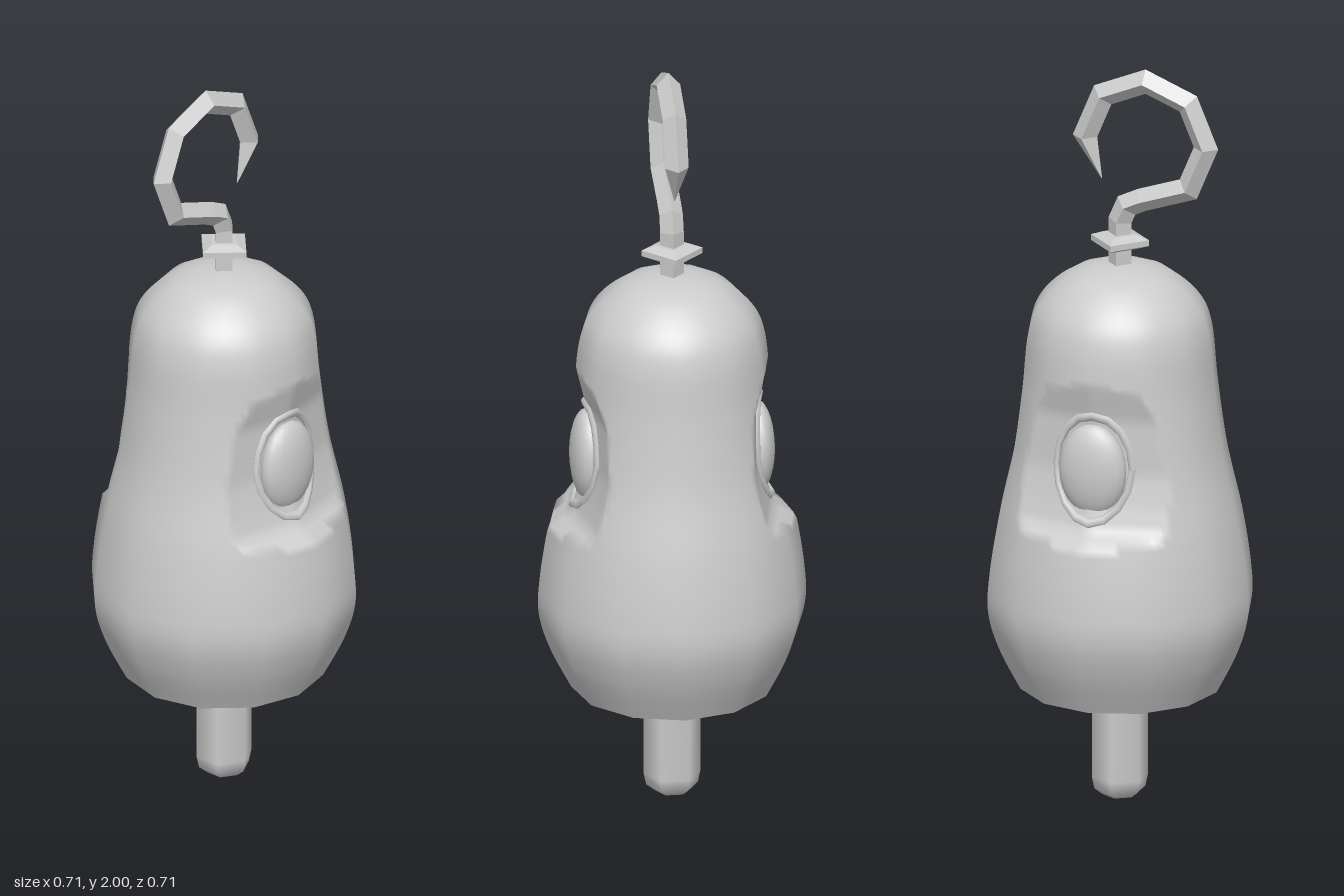
import * as THREE from 'three';

const grey = new THREE.MeshStandardMaterial({ color: 0xcccccc });
const greyFlat = new THREE.MeshStandardMaterial({ color: 0xcccccc, flatShading: true });

const PROFILE = [[0.265, 0.31], [0.32, 0.42], [0.35, 0.52], [0.348, 0.62], [0.325, 0.77], [0.285, 0.95],
  [0.26, 1.13], [0.245, 1.28], [0.215, 1.36], [0.15, 1.425], [0.08, 1.455], [0, 1.465]];
// Height and depth of the hollow pressed into each flank
const DENT = [[0.765, 0.33], [0.8, 0.27], [0.87, 0.248], [0.95, 0.23], [1.1, 0.225], [1.2, 0.25]];

const vec2 = (list) => list.map(([x, y]) => new THREE.Vector2(x, y));

function add(parent, name, geometry, material = grey) {
  const mesh = new THREE.Mesh(geometry, material);
  mesh.name = name;
  parent.add(mesh);
  return mesh;
}

// Largest |x| the flank may reach at a given height and depth
function flankLimit(y, z) {
  for (let i = 1; i < DENT.length; i++) {
    const [y0, x0] = DENT[i - 1], [y1, x1] = DENT[i];
    if (y >= y0 && y <= y1) return x0 + (x1 - x0) * (y - y0) / (y1 - y0) - 0.2 * Math.abs(z);
  }
  return Infinity;
}

// Twelve-sided, smooth-shaded shell with hollows in both flanks
function shell(points, inset = 0) {
  const geo = new THREE.LatheGeometry(points, 96);
  const pos = geo.attributes.position;
  const smooth = geo.attributes.normal.clone();
  const dented = [];
  const step = Math.PI / 6;
  for (let i = 0; i < pos.count; i++) {
    const a = Math.atan2(pos.getX(i), pos.getZ(i)) + 2 * Math.PI;
    const k = Math.cos(step / 2) / Math.cos((a % step) - step / 2);
    let x = pos.getX(i) * k;
    const y = pos.getY(i), z = pos.getZ(i) * k;
    const limit = flankLimit(y, z) - inset;
    if (Math.abs(x) > limit) {
      x = Math.sign(x) * limit;
      dented.push(i);
    }
    pos.setXYZ(i, x, y, z);
  }
  geo.computeVertexNormals();
  const n = geo.attributes.normal;
  for (const i of dented) smooth.setXYZ(i, n.getX(i), n.getY(i), n.getZ(i));
  geo.setAttribute('normal', smooth);
  return geo;
}

// Square bar on edge, swept along a path of [z, y, radius] with mitred corners
function sweptBar(path) {
  const verts = [], index = [];
  path.forEach(([z, y, r], i) => {
    const dir = (p, q) => new THREE.Vector2(q[0] - p[0], q[1] - p[1]).normalize();
    const before = dir(path[Math.max(i - 1, 0)], path[Math.max(i, 1)]);
    const last = path.length - 1;
    const after = dir(path[Math.min(i, last - 1)], path[Math.min(i + 1, last)]);
    const t = before.clone().add(after).normalize();
    const m = r / Math.max(t.dot(before), 0.6);
    const ny = t.x * m, nz = -t.y * m;
    verts.push(r, y, z, 0, y + ny, z + nz, -r, y, z, 0, y - ny, z - nz);
    if (i === 0) return;
    for (let j = 0; j < 4; j++) {
      const a = (i - 1) * 4 + j, b = (i - 1) * 4 + (j + 1) % 4;
      index.push(a, b, b + 4, a, b + 4, a + 4);
    }
  });
  const geo = new THREE.BufferGeometry();
  geo.setAttribute('position', new THREE.Float32BufferAttribute(verts, 3));
  geo.setIndex(index);
  const flat = geo.toNonIndexed();
  flat.computeVertexNormals();
  return flat;
}

export function createModel() {
  const model = new THREE.Group();
  model.name = 'hangingBell';

  // Body: outer wall, inner wall and the lip joining them
  const body = new THREE.Group();
  body.name = 'body';
  model.add(body);
  const outer = new THREE.SplineCurve(vec2(PROFILE)).getPoints(96);
  outer[outer.length - 1].x = 0;
  const inner = new THREE.SplineCurve(vec2(PROFILE.map(([x, y]) =>
    [Math.max(x - 0.027, 0), y > 1.3 ? y - 0.025 : y]))).getPoints(64).reverse();
  inner.forEach((p) => { p.x = Math.max(p.x, 0); });
  add(body, 'outerWall', shell(outer));
  add(body, 'innerWall', shell(inner, 0.02));
  add(body, 'lip', shell(vec2([[0.238, 0.31], [0.265, 0.31]])));

  // Oval boss with a bent rim, one in each flank
  for (const side of [1, -1]) {
    const boss = new THREE.Group();
    boss.name = side > 0 ? 'leftBoss' : 'rightBoss';
    boss.rotation.y = side > 0 ? 0 : Math.PI;
    model.add(boss);

    const dome = add(boss, 'dome', new THREE.SphereGeometry(1, 20, 14));
    dome.scale.set(0.045, 0.125, 0.092);
    dome.position.set(0.224, 0.965, 0);

    const rim = new THREE.TorusGeometry(0.104, 0.009, 6, 16);
    rim.rotateY(Math.PI / 2);
    rim.scale(1, 1.36, 1);
    rim.translate(0, 0.972, 0);
    const p = rim.attributes.position;
    for (let i = 0; i < p.count; i++) {
      p.setX(i, p.getX(i) + flankLimit(p.getY(i), p.getZ(i)) + 0.002);
    }
    rim.computeVertexNormals();
    add(boss, 'rim', rim);
  }

  // Clapper: six-sided rod with a rounded end
  const clapper = new THREE.LatheGeometry(
    vec2([[0, 0], [0.045, 0.004], [0.068, 0.022], [0.075, 0.055], [0.075, 1.25], [0, 1.25]]), 6);
  clapper.rotateY(Math.PI / 2);
  add(model, 'clapper', clapper);

  // Square collar with bevelled faces
  const collar = new THREE.LatheGeometry(
    vec2([[0, 1.505], [0.045, 1.505], [0.08, 1.517], [0.08, 1.533], [0.045, 1.545], [0, 1.545]]), 4);
  add(model, 'collar', collar, greyFlat);

  // Hook: stem, bend, open octagonal loop and pointed tip
  const r = 0.031;
  const path = [[0, 1.43, r], [0, 1.58, r], [0.018, 1.622, r], [0.06, 1.642, r]];
  for (let i = 0; i < 6; i++) {
    const a = -Math.PI / 4 + i * Math.PI / 4;
    path.push([0.07 + 0.166 * Math.cos(a), 1.802 + 0.166 * Math.sin(a), r]);
  }
  path.push([-0.05, 1.69, 0.001]);
  add(model, 'hook', sweptBar(path), greyFlat);

  return model;
}
